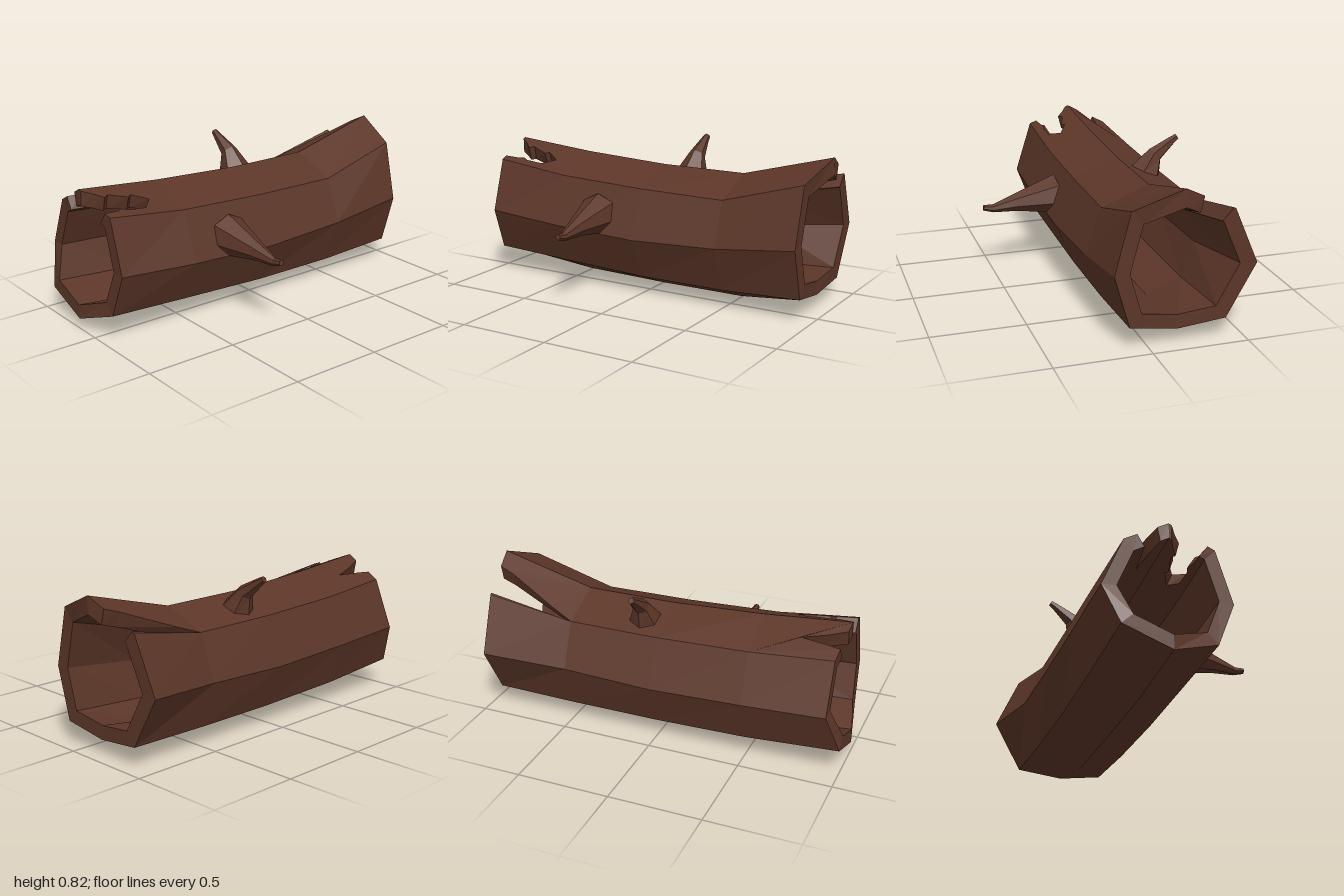
import * as THREE from 'three';

const bark = new THREE.MeshStandardMaterial({ color: 0x5c3628, flatShading: true });

// Eight-sided rings from front to back: bottom, then round by the +x side
const rings = [
  { z: [1, 0.95, 0.94, 0.94, 0.965, 0.94, 0.94, 1],
    p: [[-0.145, 0.055], [0.1, 0.14], [0.19, 0.375], [0.1, 0.66], [-0.15, 0.75], [-0.37, 0.635], [-0.48, 0.37], [-0.4, 0.15]] },
  { z: 0.5,
    p: [[-0.145, 0.01], [0.1, 0.12], [0.2, 0.345], [0.1, 0.61], [-0.15, 0.71], [-0.385, 0.605], [-0.485, 0.35], [-0.4, 0.115]] },
  { z: 0,
    p: [[-0.145, 0], [0.1, 0.1], [0.2, 0.325], [0.1, 0.59], [-0.15, 0.685], [-0.39, 0.59], [-0.49, 0.335], [-0.395, 0.1]] },
  { z: -0.49,
    p: [[-0.145, 0], [0.1, 0.1], [0.19, 0.345], [0.1, 0.585], [-0.15, 0.685], [-0.39, 0.59], [-0.485, 0.35], [-0.395, 0.1]] },
  { z: [-0.93, -0.94, -0.94, -0.945, -1, -0.95, -0.94, -0.94],
    p: [[-0.145, 0.08], [0.1, 0.12], [0.18, 0.395], [0.1, 0.715], [-0.15, 0.82], [-0.425, 0.68], [-0.555, 0.385], [-0.4, 0.11]] },
];

// Outer corners and the same corners drawn in for the hollow
const outer = rings.map(({ z, p }) =>
  p.map(([x, y], i) => new THREE.Vector3(x, y, Array.isArray(z) ? z[i] : z)));
const inner = outer.map((ring) => {
  const c = ring.reduce((a, v) => a.add(v), new THREE.Vector3()).divideScalar(8);
  return ring.map((v) => new THREE.Vector3(c.x + (v.x - c.x) * 0.77, c.y + (v.y - c.y) * 0.77, v.z));
});

// Panels broken by cracks, as outlines across (s) and along (t) the panel
const whole = [[[0, 0], [1, 0], [1, 1], [0, 1]]];
const broken = {
  // front crack with splintered edges
  '0,3': [[[0, 0], [0.16, 0], [0.2, 0.2], [0.25, 0.25], [0.19, 0.33], [0.2, 0.55], [0.44, 0.69], [0.64, 0.52],
    [0.57, 0.47], [0.72, 0.25], [0.64, 0.19], [0.8, 0.1], [0.93, 0], [1, 0], [1, 1], [0, 1]]],
  // smaller front crack
  '0,4': [[[0, 0], [0.25, 0], [0.38, 0.2], [0.5, 0.48], [0.62, 0.17], [0.7, 0], [1, 0], [1, 1], [0, 1]]],
  // long split at the back, with the thin edge of its far side
  '3,4': [[[0, 0], [1, 0], [0.82, 0.26], [0.42, 0.84], [0.36, 1], [0, 1]], [[1, 0], [1, 1], [0.96, 1]]],
};

function point(shell, j, i, [s, t]) {
  const k = (i + 1) % 8;
  const a = shell[j][i].clone().lerp(shell[j][k], s);
  return a.lerp(shell[j + 1][i].clone().lerp(shell[j + 1][k], s), t);
}

// Hollow trunk: outer skin, inner skin and the broken or cut edges
function trunkGeometry() {
  const pos = [];
  const tri = (...v) => v.forEach((q) => pos.push(q.x, q.y, q.z));
  for (let j = 0; j < 4; j++) for (let i = 0; i < 8; i++) {
    for (const outline of broken[`${j},${i}`] || whole) {
      const flat = outline.map(([s, t]) => new THREE.Vector2(s, t));
      const O = outline.map((q) => point(outer, j, i, q));
      const I = outline.map((q) => point(inner, j, i, q));
      for (const f of THREE.ShapeUtils.triangulateShape(flat, [])) {
        const [a, b, c] = THREE.ShapeUtils.area(f.map((n) => flat[n])) > 0 ? f : [f[0], f[2], f[1]];
        tri(O[a], O[c], O[b]);
        tri(I[a], I[b], I[c]);
      }
      outline.forEach((p, a) => {
        const b = (a + 1) % outline.length, q = outline[b];
        const joined = (p[0] === q[0] && p[0] % 1 === 0)
          || (p[1] === 0 && q[1] === 0 && j > 0) || (p[1] === 1 && q[1] === 1 && j < 3);
        if (joined) return;
        tri(O[a], O[b], I[b]);
        tri(O[a], I[b], I[a]);
      });
    }
  }
  const g = new THREE.BufferGeometry();
  g.setAttribute('position', new THREE.Float32BufferAttribute(pos, 3));
  g.computeVertexNormals();
  return g;
}

// Tapered stub: stations are [x, y, z, radius]
function branchGeometry(stations, sides = 7) {
  const c = stations.map((s) => new THREE.Vector3(s[0], s[1], s[2]));
  const loops = stations.map((s, n) => {
    const dir = c[Math.min(n + 1, c.length - 1)].clone().sub(c[Math.max(n - 1, 0)]).normalize();
    const u = new THREE.Vector3(0, 0, 1).cross(dir).normalize();
    const v = dir.clone().cross(u);
    return Array.from({ length: sides }, (_, k) => {
      const a = (k / sides) * Math.PI * 2;
      return c[n].clone().addScaledVector(u, Math.cos(a) * s[3]).addScaledVector(v, Math.sin(a) * s[3]);
    });
  });
  const pts = [];
  const end = loops.length - 1;
  for (let k = 0; k < sides; k++) {
    const m = (k + 1) % sides;
    for (let n = 0; n < end; n++) {
      const [a, b, d, e] = [loops[n][k], loops[n][m], loops[n + 1][m], loops[n + 1][k]];
      pts.push(a, b, d, a, d, e);
    }
    pts.push(loops[end][k], loops[end][m], c[end]);
  }
  const g = new THREE.BufferGeometry().setFromPoints(pts);
  g.computeVertexNormals();
  return g;
}

export function createModel() {
  const group = new THREE.Group();
  group.name = 'hollowLog';
  const add = (name, geometry) => {
    const mesh = new THREE.Mesh(geometry, bark);
    mesh.name = name;
    group.add(mesh);
  };
  add('trunk', trunkGeometry());
  add('sideBranch', branchGeometry([
    [0.13, 0.43, 0.25, 0.115], [0.37, 0.403, 0.24, 0.05], [0.5, 0.383, 0.232, 0.023], [0.553, 0.392, 0.23, 0.016]]));
  add('topBranch', branchGeometry([
    [-0.27, 0.62, -0.11, 0.09], [-0.325, 0.72, -0.11, 0.045], [-0.425, 0.79, -0.105, 0.022], [-0.452, 0.807, -0.105, 0.017]], 6));
  return group;
}
